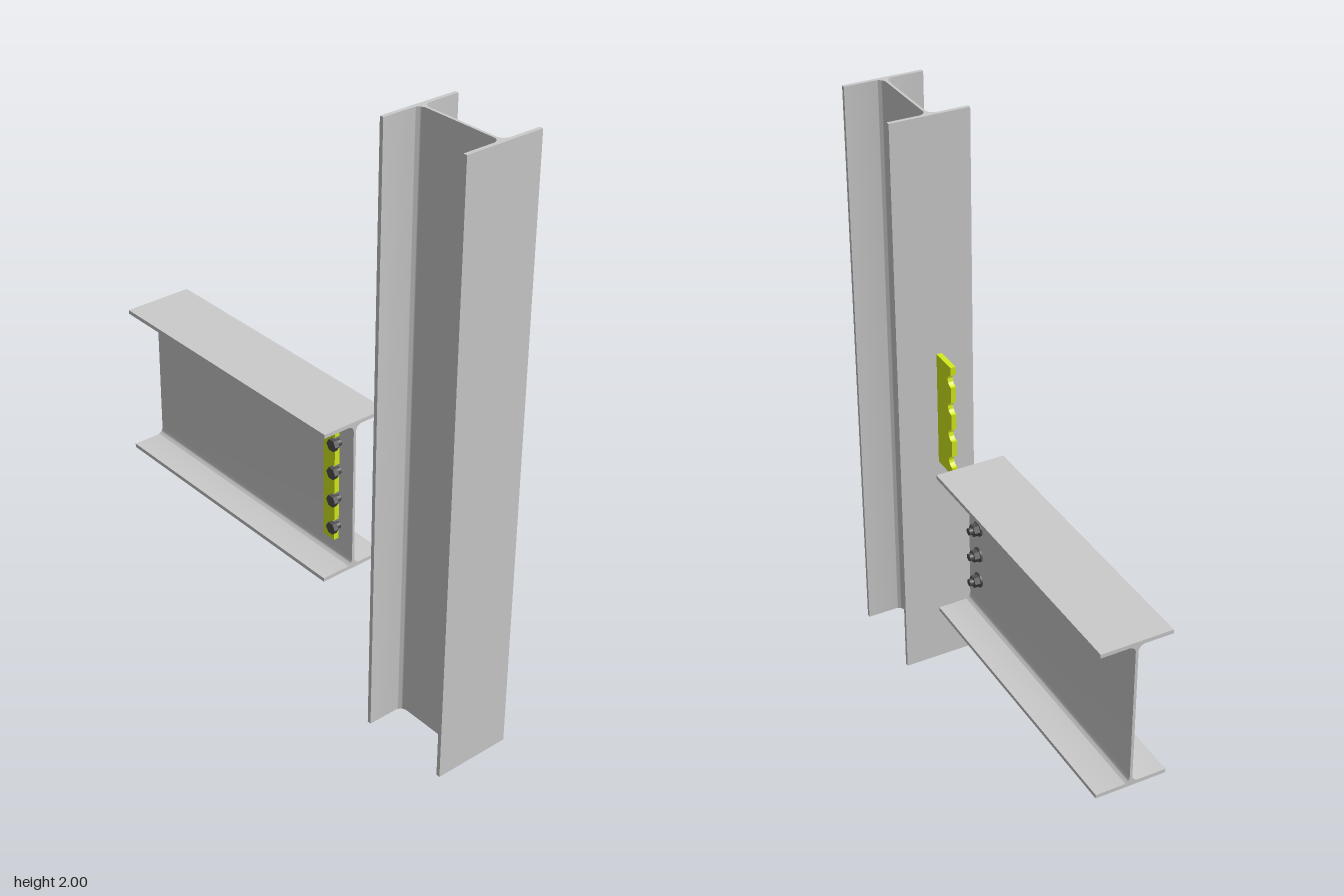
import * as THREE from 'three';
import { toCreasedNormals } from 'three/addons/utils/BufferGeometryUtils.js';

const steel = new THREE.MeshStandardMaterial({ color: 0xcccccc });
const lime = new THREE.MeshStandardMaterial({ color: 0xd4ec1c });
const dark = new THREE.MeshStandardMaterial({ color: 0x505050 });

function mesh(name, geometry, material) {
  const m = new THREE.Mesh(geometry, material);
  m.name = name;
  return m;
}

// Rolled I-section with rounded roots, extruded along +z
function iBeam(width, height, flange, web, root, length) {
  const w = width / 2, h = height / 2, f = h - flange, t = web / 2, c = t + root;
  const s = new THREE.Shape();
  s.moveTo(-w, -h);
  s.lineTo(w, -h);
  s.lineTo(w, -f);
  s.lineTo(c, -f);
  s.absarc(c, -f + root, root, -Math.PI / 2, -Math.PI, true);
  s.lineTo(t, f - root);
  s.absarc(c, f - root, root, Math.PI, Math.PI / 2, true);
  s.lineTo(w, f);
  s.lineTo(w, h);
  s.lineTo(-w, h);
  s.lineTo(-w, f);
  s.lineTo(-c, f);
  s.absarc(-c, f - root, root, Math.PI / 2, 0, true);
  s.lineTo(-t, -f + root);
  s.absarc(-c, -f + root, root, 0, -Math.PI / 2, true);
  s.lineTo(-w, -f);
  s.closePath();
  const g = new THREE.ExtrudeGeometry(s, { depth: length, bevelEnabled: false, curveSegments: 8 });
  return toCreasedNormals(g, 0.5);
}

// Half of a plate torn along its line of four bolt holes; the torn edge is at zTorn
function tornPlate(zSolid, zTorn, yBottom) {
  const r = 0.022, height = 0.4;
  const biteForward = zSolid > zTorn;
  const s = new THREE.Shape();
  s.moveTo(zSolid, yBottom);
  s.lineTo(zTorn, yBottom);
  for (let i = 0; i < 4; i++) {
    const y = yBottom + 0.05 + i * 0.1;
    s.lineTo(zTorn, y - r);
    s.absarc(zTorn, y, r, -Math.PI / 2, biteForward ? Math.PI / 2 : -Math.PI * 1.5, !biteForward);
  }
  s.lineTo(zTorn, yBottom + height);
  s.lineTo(zSolid, yBottom + height);
  s.closePath();
  const g = new THREE.ExtrudeGeometry(s, { depth: 0.018, bevelEnabled: false, curveSegments: 10 });
  g.rotateY(-Math.PI / 2).translate(-0.0045, 0, 0);
  return toCreasedNormals(g, 0.6);
}

// Cylinder lying along x between x0 and x1
function rod(name, radius, x0, x1, sides) {
  const g = new THREE.CylinderGeometry(radius, radius, x1 - x0, sides);
  g.rotateZ(Math.PI / 2).translate((x0 + x1) / 2, 0, 0);
  return mesh(name, toCreasedNormals(g, 0.6), dark);
}

function bolt() {
  const g = new THREE.Group();
  g.name = 'bolt';
  g.add(
    rod('boltHead', 0.021, -0.038, -0.0225, 6),
    rod('boltShank', 0.012, -0.03, 0.042, 20),
    rod('washer', 0.025, 0.0045, 0.01, 24),
    rod('nut', 0.021, 0.01, 0.029, 6)
  );
  return g;
}

export function createModel() {
  const model = new THREE.Group();
  model.name = 'failedBeamConnection';

  // Upright column
  const column = mesh('column', iBeam(0.264, 0.324, 0.013, 0.009, 0.025, 2), steel);
  column.rotation.x = -Math.PI / 2;
  column.position.z = 0.615;
  model.add(column);

  // Fallen beam
  const beam = mesh('beam', iBeam(0.235, 0.528, 0.013, 0.009, 0.022, 0.999), steel);
  beam.position.set(0, 0.656, -0.777);
  model.add(beam);

  // Two halves of the torn connection plate
  model.add(mesh('columnPlateHalf', tornPlate(0.453, 0.356, 0.8), lime));
  model.add(mesh('beamPlateHalf', tornPlate(0.105, 0.157, 0.47), lime));

  // Bolts through the beam web
  for (let i = 0; i < 4; i++) {
    const b = bolt();
    b.position.set(0, 0.52 + i * 0.1, 0.157);
    model.add(b);
  }
  return model;
}
